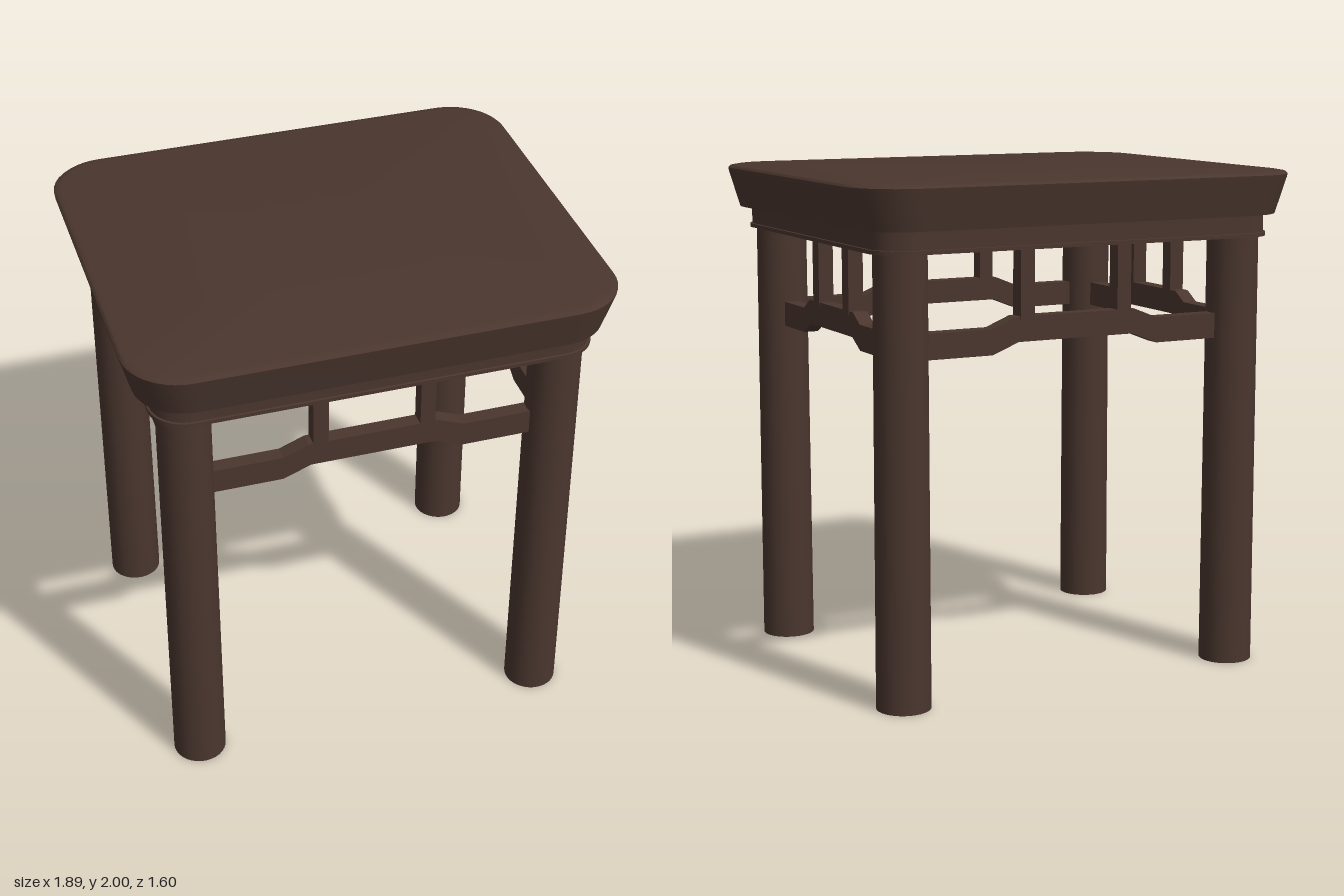
import * as THREE from 'three';
import { toCreasedNormals } from 'three/addons/utils/BufferGeometryUtils.js';

// Outline of a rounded rectangle in plan, running from +x towards +z
function outline(hx, hz, r, steps = 10) {
  const pts = [];
  [[1, 1], [-1, 1], [-1, -1], [1, -1]].forEach(([sx, sz], q) => {
    for (let i = 0; i <= steps; i++) {
      const a = (q + i / steps) * Math.PI / 2;
      pts.push([sx * (hx - r) + r * Math.cos(a), sz * (hz - r) + r * Math.sin(a)]);
    }
  });
  return pts;
}

// Closed solid through stacked rounded rectangles: rings of [y, halfX, halfZ, radius]
function loft(rings) {
  const pos = [];
  const loops = rings.map(([y, hx, hz, r]) => outline(hx, hz, r).map(([x, z]) => [x, y, z]));
  const n = loops[0].length;
  const bottom = [0, rings[0][0], 0];
  const top = [0, rings[rings.length - 1][0], 0];
  const last = loops[loops.length - 1];
  for (let j = 0; j < n; j++) {
    const k = (j + 1) % n;
    for (let i = 0; i < loops.length - 1; i++) {
      const [a, b, c, d] = [loops[i][j], loops[i][k], loops[i + 1][j], loops[i + 1][k]];
      pos.push(...a, ...c, ...b, ...b, ...c, ...d);
    }
    pos.push(...bottom, ...loops[0][j], ...loops[0][k]);
    pos.push(...top, ...last[k], ...last[j]);
  }
  const g = new THREE.BufferGeometry();
  g.setAttribute('position', new THREE.Float32BufferAttribute(pos, 3));
  return toCreasedNormals(g, 0.6);
}

export function createModel() {
  const model = new THREE.Group();
  model.name = 'stool';
  const wood = new THREE.MeshStandardMaterial({ color: 0x4a362e });
  wood.name = 'dark wood';

  const add = (name, geometry, parent = model) => {
    const mesh = new THREE.Mesh(geometry, wood);
    mesh.name = name;
    parent.add(mesh);
    return mesh;
  };

  // Seat slab, flaring upwards with a softened top edge
  add('seat', loft([
    [1.83, 0.905, 0.76, 0.2],
    [1.975, 0.944, 0.797, 0.22],
    [1.988, 0.945, 0.8, 0.22],
    [1.996, 0.937, 0.792, 0.215],
    [2.0, 0.915, 0.77, 0.2],
  ]));

  // Apron below the seat with a thin lip
  add('apron', loft([
    [1.742, 0.858, 0.725, 0.14],
    [1.757, 0.858, 0.725, 0.14],
    [1.758, 0.85, 0.717, 0.135],
    [1.832, 0.85, 0.717, 0.135],
  ]));

  // Round legs, slightly thicker at the foot
  for (const sx of [-1, 1]) {
    for (const sz of [-1, 1]) {
      const leg = add('leg', new THREE.CylinderGeometry(0.102, 0.106, 1.75, 32));
      leg.position.set(sx * 0.728, 0.875, sz * 0.59);
    }
  }

  // Humped stretcher with two struts up to the apron
  function railing(name, half, kinkOut, kinkIn, strutX) {
    const group = new THREE.Group();
    group.name = name;
    const thick = 0.06;
    const shape = new THREE.Shape([
      [-half, 1.337], [-kinkOut, 1.337], [-kinkIn, 1.38], [kinkIn, 1.38],
      [kinkOut, 1.337], [half, 1.337], [half, 1.437], [kinkOut, 1.437],
      [kinkIn + 0.01, 1.477], [-kinkIn - 0.01, 1.477], [-kinkOut, 1.437], [-half, 1.437],
    ].map(([x, y]) => new THREE.Vector2(x, y)));
    const bar = new THREE.ExtrudeGeometry(shape, { depth: thick, bevelEnabled: false });
    add('stretcher', bar.translate(0, 0, -thick / 2), group);
    for (const s of [-1, 1]) {
      const strut = add('strut', new THREE.BoxGeometry(0.06, 0.29, 0.062), group);
      strut.position.set(s * strutX, 1.605, 0);
    }
    model.add(group);
    return group;
  }

  for (const s of [-1, 1]) {
    railing(s > 0 ? 'frontRailing' : 'backRailing', 0.7, 0.36, 0.25, 0.212).position.z = s * 0.59;
    const side = railing(s > 0 ? 'leftRailing' : 'rightRailing', 0.56, 0.283, 0.208, 0.148);
    side.position.x = s * 0.728;
    side.rotation.y = Math.PI / 2;
  }

  return model;
}
